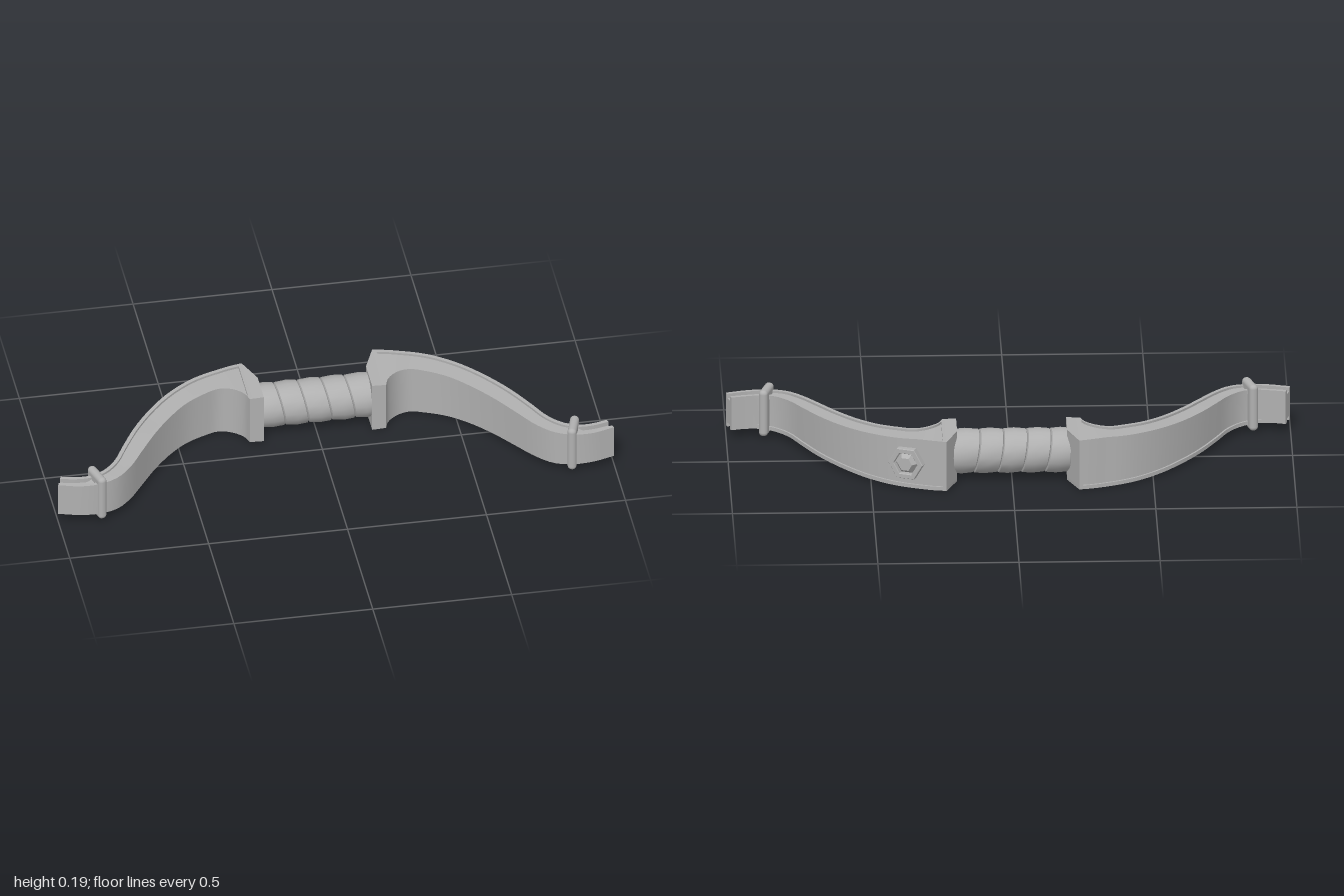
import * as THREE from 'three';
import { toCreasedNormals } from 'three/addons/utils/BufferGeometryUtils.js';
import { RoundedBoxGeometry } from 'three/addons/geometries/RoundedBoxGeometry.js';

const MID = 0.096; // height of the bow's centre plane

// Limb stations from grip to tip: outer x, z, inner x, z, half height
const STATIONS = [
  [0.235, -0.31, 0.245, -0.087, 0.093], [0.285, -0.298, 0.26, -0.125, 0.094],
  [0.335, -0.282, 0.3, -0.16, 0.094], [0.385, -0.267, 0.345, -0.17, 0.092],
  [0.44, -0.242, 0.4, -0.15, 0.09], [0.52, -0.187, 0.47, -0.11, 0.086],
  [0.6, -0.108, 0.54, -0.045, 0.081], [0.675, -0.01, 0.61, 0.04, 0.077],
  [0.735, 0.09, 0.675, 0.135, 0.073], [0.78, 0.168, 0.73, 0.215, 0.069],
  [0.83, 0.217, 0.785, 0.268, 0.067], [0.88, 0.235, 0.85, 0.292, 0.064],
  [0.93, 0.232, 0.92, 0.292, 0.062], [0.982, 0.22, 1.0, 0.27, 0.062],
];

// Cross-section with raised rims on top, bottom and the outer face
function section(o, i, h, d, d2) {
  const T = Math.hypot(i.x - o.x, i.z - o.z), r = 0.014;
  const uv = [
    [0, h], [r, h], [r, h - d], [T - r, h - d], [T - r, h], [T, h],
    [T, -h], [T - r, -h], [T - r, d - h], [r, d - h], [r, -h], [0, -h],
    [0, r - h], [d2, r - h], [d2, h - r], [0, h - r],
  ];
  return uv.map(([u, v]) => [o.x + (i.x - o.x) * u / T, MID + v, o.z + (i.z - o.z) * u / T]);
}

function limbGeometry(side) {
  const outer = new THREE.CatmullRomCurve3(STATIONS.map(s => new THREE.Vector3(s[0], s[4], s[1])));
  const inner = new THREE.CatmullRomCurve3(STATIONS.map(s => new THREE.Vector3(s[2], s[4], s[3])));
  const at = (t, d, d2) => {
    const o = outer.getPoint(t);
    return section(o, inner.getPoint(t), o.y, d, d2);
  };
  // Solid shoulder against the grip, then the recessed length
  const rings = [
    section(new THREE.Vector3(0.195, 0, -0.21), new THREE.Vector3(0.195, 0, -0.087), 0.095, 0, 0),
    at(0, 0, 0), at(0.02, 0, 0),
  ];
  const N = 39;
  for (let k = 0; k <= N; k++) {
    const t = 0.021 + 0.979 * k / N;
    rings.push(at(t, t > 0.86 ? 0.016 : 0.008, t > 0.86 ? 0 : 0.007));
  }

  const pos = [];
  const tri = (a, b, c) => {
    for (const p of side > 0 ? [a, b, c] : [a, c, b]) pos.push(p[0] * side, p[1], p[2]);
  };
  const quad = (a, b, c, d) => { tri(a, b, c); tri(a, c, d); };
  for (let k = 0; k < rings.length - 1; k++) {
    const A = rings[k], B = rings[k + 1];
    for (let j = 0; j < 16; j++) {
      const n = (j + 1) % 16;
      quad(A[j], A[n], B[n], B[j]);
    }
  }
  // End caps
  const first = rings[0], last = rings[rings.length - 1];
  for (const [a, b, c, d] of [[0, 1, 10, 11], [2, 3, 8, 9], [4, 5, 6, 7]]) {
    quad(last[a], last[b], last[c], last[d]);
    quad(first[d], first[c], first[b], first[a]);
  }
  const g = new THREE.BufferGeometry();
  g.setAttribute('position', new THREE.Float32BufferAttribute(pos, 3));
  return toCreasedNormals(g, 0.6);
}

// Grip: overlapping wraps, slanted around the handle
function gripGeometry() {
  const profile = [], wraps = 5, w = 0.42 / wraps;
  for (let k = 0; k < wraps; k++) {
    const x = -0.21 + k * w;
    profile.push(new THREE.Vector2(0.07, x), new THREE.Vector2(0.077, x + 0.004),
      new THREE.Vector2(0.081, x + w * 0.55), new THREE.Vector2(0.078, x + w - 0.003));
  }
  profile.push(new THREE.Vector2(0.07, 0.21));
  const g = new THREE.LatheGeometry(profile, 20);
  g.rotateZ(-Math.PI / 2);
  const p = g.attributes.position;
  for (let k = 0; k < p.count; k++) {
    const fade = Math.min(1, (0.21 - Math.abs(p.getX(k))) / 0.06);
    p.setX(k, p.getX(k) + fade * (-0.17 * p.getY(k) + 0.08 * p.getZ(k)));
  }
  return toCreasedNormals(g, 0.6);
}

export function createModel() {
  const model = new THREE.Group();
  model.name = 'bow';
  const grey = new THREE.MeshStandardMaterial({ color: 0xb0b0b0 });
  grey.name = 'grey';
  const add = (parent, name, geometry) => {
    const mesh = new THREE.Mesh(geometry, grey);
    mesh.name = name;
    parent.add(mesh);
    return mesh;
  };

  add(model, 'grip', gripGeometry()).position.set(0, 0.1, -0.168);

  for (const side of [1, -1]) {
    const label = side > 0 ? 'left' : 'right';
    add(model, label + 'Limb', limbGeometry(side));
    // Collar near the tip
    const collar = add(model, label + 'Collar', new RoundedBoxGeometry(0.032, 0.174, 0.104, 3, 0.015));
    collar.position.set(side * 0.857, 0.099, 0.254);
    collar.rotation.y = side * -0.3;
  }

  // Six-sided stud on the back of the left limb, pointed along the limb
  const stud = new THREE.Group();
  stud.name = 'stud';
  const hex = new THREE.Shape(), hole = new THREE.Path();
  for (let k = 0; k < 6; k++) {
    const a = k * Math.PI / 3, c = Math.cos(a), s = Math.sin(a);
    hex[k ? 'lineTo' : 'moveTo'](0.062 * c, 0.062 * s);
    hole[k ? 'lineTo' : 'moveTo'](0.046 * c, 0.046 * s);
  }
  hex.closePath();
  hole.closePath();
  hex.holes.push(hole);
  add(stud, 'studFrame', new THREE.ExtrudeGeometry(hex, {
    depth: 0.028, bevelEnabled: true, bevelThickness: 0.003, bevelSize: 0.002, bevelSegments: 1,
  }));
  const gem = new THREE.CylinderGeometry(0.026, 0.047, 0.03, 6).toNonIndexed();
  gem.rotateY(Math.PI / 6);
  gem.rotateX(Math.PI / 2);
  gem.computeVertexNormals();
  add(stud, 'studGem', gem).position.z = 0.02;
  stud.position.set(0.37, MID + 0.001, -0.256);
  stud.rotation.y = Math.PI - 0.36;
  model.add(stud);

  return model;
}
